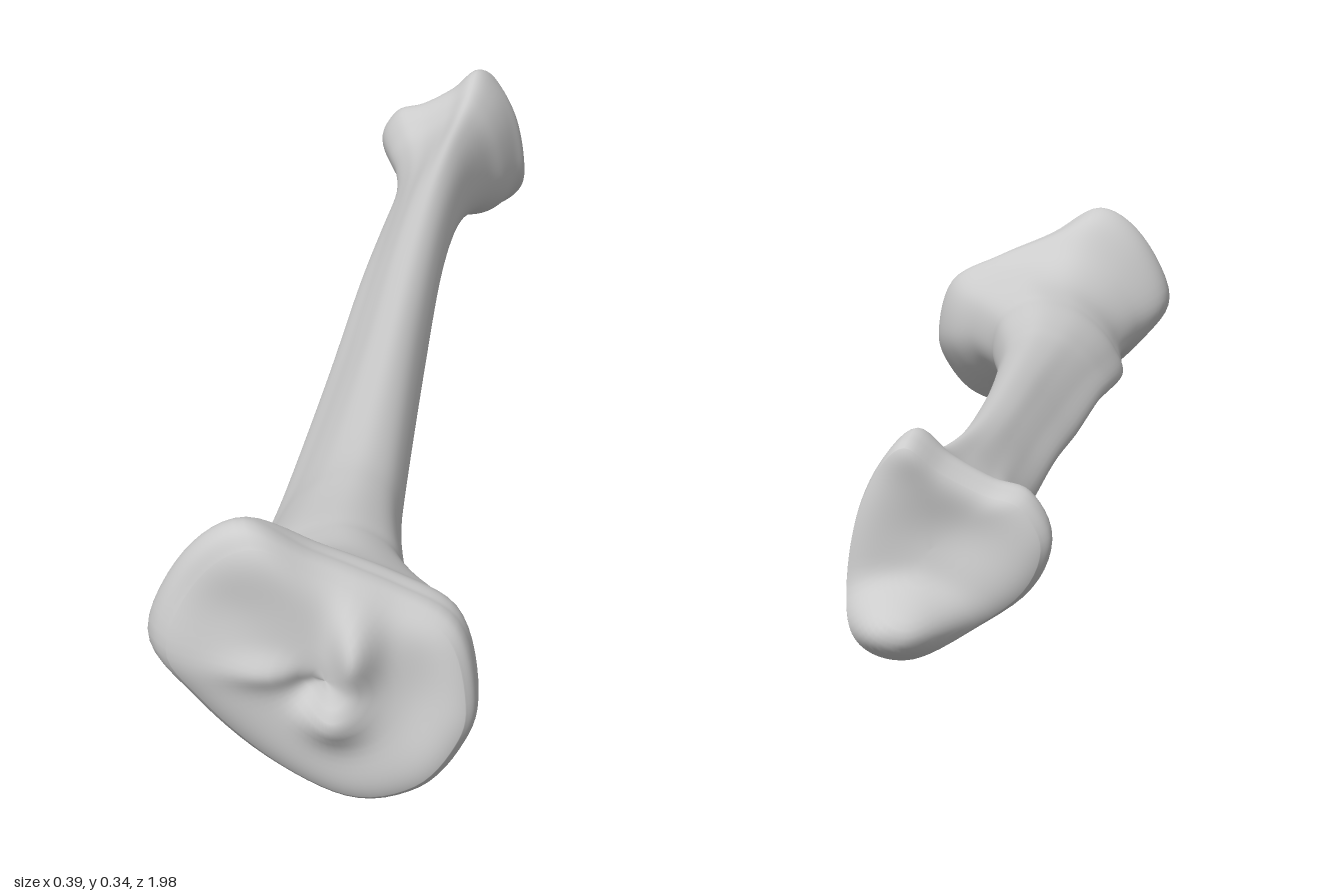
import * as THREE from 'three';

// Cross-section outlines (x, y), counter-clockwise, matching features in the same order
const plateau = [.193,.13, .168,.215, .09,.257, 0,.295, -.08,.336, -.15,.29, -.195,.19, -.15,.12, -.06,.04, .04,.002, .13,.02, .18,.075];
const upperShaft = [.08,.13, .07,.175, .04,.2, 0,.21, -.05,.198, -.09,.172, -.118,.138, -.13,.1, -.09,.075, -.02,.064, .03,.07, .065,.095];
const midShaft = [.04,.145, .03,.18, .015,.2, -.005,.208, -.03,.2, -.05,.182, -.07,.16, -.095,.13, -.075,.107, -.03,.095, .005,.1, .03,.118];
const lowerEnd = [.11,.12, .1,.2, .075,.26, .04,.293, 0,.262, -.05,.235, -.095,.22, -.12,.17, -.09,.11, 0,.055, .05,.045, .095,.07];

// Stations along the bone: z, min x, max x, min y, max y, outline blend (0 to 3)
const stations = [
  [.94, -.168, .182, .012, .315, 0],
  [.925, -.185, .191, .003, .332, 0],
  [.9, -.195, .193, 0, .336, 0],
  [.865, -.188, .187, .02, .32, .15],
  [.82, -.15, .165, .045, .272, .45],
  [.76, -.125, .125, .064, .24, .8],
  [.68, -.126, .088, .064, .221, 1],
  [.62, -.13, .077, .064, .213, 1.1],
  [.5, -.118, .06, .07, .2, 1.4],
  [.36, -.108, .052, .08, .195, 1.7],
  [0, -.095, .04, .095, .208, 2],
  [-.29, -.086, .034, .118, .22, 2],
  [-.5, -.078, .036, .115, .23, 2.1],
  [-.66, -.072, .046, .1, .24, 2.4],
  [-.77, -.084, .066, .08, .25, 2.7],
  [-.83, -.102, .088, .062, .27, 2.9],
  [-.875, -.117, .103, .046, .293, 3],
  [-.9, -.119, .114, .036, .288, 3],
  [-.915, -.108, .115, .037, .278, 3],
];

const SIDES = 72, STEPS = 6, CAP = 18;
const { lerp, smoothstep, clamp } = THREE.MathUtils;

// Closed smooth outline fitted to a unit box
function unitOutline(flat) {
  const pts = [];
  for (let i = 0; i < flat.length; i += 2) pts.push(new THREE.Vector3(flat[i], flat[i + 1], 0));
  const curve = new THREE.CatmullRomCurve3(pts, true, 'catmullrom', 0.5);
  const ring = Array.from({ length: SIDES }, (_, j) => curve.getPoint(j / SIDES));
  const box = new THREE.Box3().setFromPoints(ring);
  const size = box.getSize(new THREE.Vector3());
  return ring.map(p => [(p.x - box.min.x) / size.x, (p.y - box.min.y) / size.y]);
}

// Smooth interpolation between stations
function stationAt(u) {
  const i = Math.min(Math.floor(u), stations.length - 2), t = u - i;
  const s = k => stations[clamp(k, 0, stations.length - 1)];
  return s(i).map((b, k) => {
    const a = s(i - 1)[k], c = s(i + 1)[k], d = s(i + 2)[k];
    return b + 0.5 * t * (c - a + t * (2 * a - 5 * b + 4 * c - d + t * (3 * (b - c) + d - a)));
  });
}

const bump = (x, y, cx, cy, sx, sy, h) => h * Math.exp(-(((x - cx) / sx) ** 2) - ((y - cy) / sy) ** 2);

// Knee surface: two shallow dishes, a double spine, a pit and a backward slope
const kneeRelief = (x, y) =>
  bump(x, y, .055, .195, .025, .05, .034) + bump(x, y, .03, .115, .035, .03, .03)
  + bump(x, y, -.05, .165, .05, .02, .012) - bump(x, y, 0, .15, .022, .022, .016)
  - bump(x, y, -.1, .24, .06, .055, .012) - bump(x, y, .125, .13, .04, .07, .012)
  - .2 * (y - .13) * smoothstep(x, -.08, .1);

// Ankle surface: hollow joint face with the inner ankle knob reaching past it
const ankleRelief = (x, y) => {
  const d = ((x - .055) / .062) ** 2 + ((y - .07) / .04) ** 2;
  return -.07 * Math.exp(-(d ** 1.4)) - bump(x, y, .04, .28, .05, .03, .01) + bump(x, y, -.01, .18, .06, .05, .014);
};

function boneGeometry() {
  const outlines = [plateau, upperShaft, midShaft, lowerEnd].map(unitOutline);
  const rings = [];

  const bodyRing = u => {
    const [z, x0, x1, y0, y1, s] = stationAt(u);
    const k = clamp(Math.floor(s), 0, 2), f = clamp(s - k, 0, 1);
    return outlines[k].map((p, j) => {
      const q = outlines[k + 1][j];
      return [lerp(x0, x1, lerp(p[0], q[0], f)), lerp(y0, y1, lerp(p[1], q[1], f)), z];
    });
  };

  // Rim ring shrunk towards its middle with a rounded edge
  const capRing = (rim, t, rise) => {
    const cx = rim.reduce((a, p) => a + p[0], 0) / SIDES, cy = rim.reduce((a, p) => a + p[1], 0) / SIDES;
    return rim.map(([x, y, z]) => [lerp(cx, x, t), lerp(cy, y, t), z + rise * (1 - t ** 7)]);
  };

  const last = stations.length - 1;
  const front = bodyRing(0), back = bodyRing(last);
  for (let i = 0; i < CAP; i++) rings.push(capRing(front, Math.sin(i / CAP * Math.PI / 2), .015));
  for (let i = 0; i <= last * STEPS; i++) rings.push(bodyRing(i / STEPS));
  for (let i = CAP - 1; i >= 0; i--) rings.push(capRing(back, Math.sin(i / CAP * Math.PI / 2), -.01));

  const pos = [], idx = [];
  for (const [x, y, z] of rings.flat()) {
    const dz = kneeRelief(x, y) * smoothstep(z, .84, .94) + ankleRelief(x, y) * smoothstep(-z, .85, .915);
    pos.push(x, y, z + dz);
  }
  for (let i = 0; i < rings.length - 1; i++) {
    for (let j = 0; j < SIDES; j++) {
      const a = i * SIDES + j, b = i * SIDES + (j + 1) % SIDES, c = a + SIDES, d = b + SIDES;
      idx.push(c, d, a, d, b, a);
    }
  }
  const geo = new THREE.BufferGeometry();
  geo.setAttribute('position', new THREE.Float32BufferAttribute(pos, 3));
  geo.setIndex(idx);
  geo.computeVertexNormals();
  return geo;
}

export function createModel() {
  const group = new THREE.Group();
  group.name = 'shinBone';
  const bone = new THREE.Mesh(boneGeometry(), new THREE.MeshStandardMaterial({ color: 0xcccccc }));
  bone.name = 'bone';
  group.add(bone);
  return group;
}
